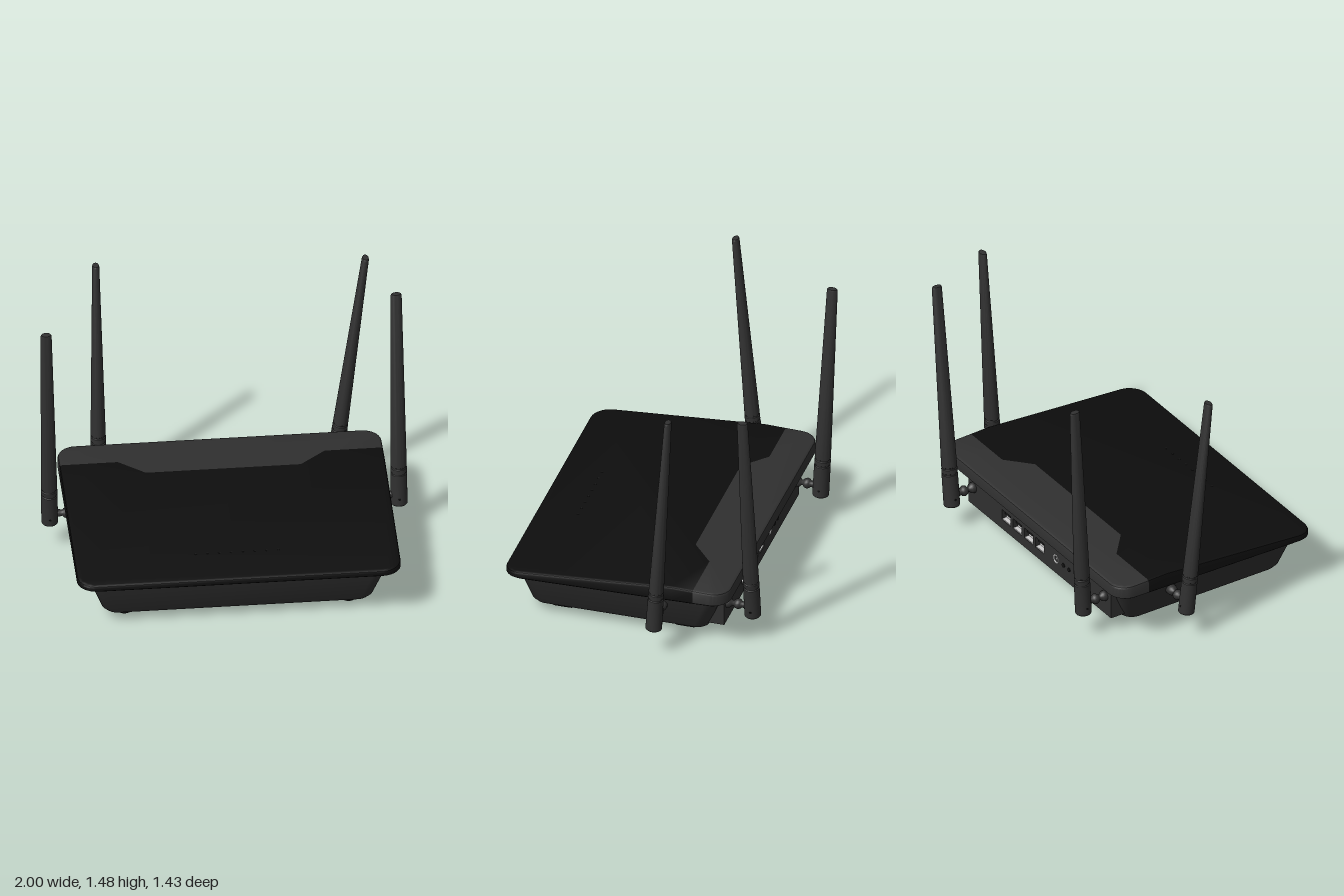
import * as THREE from 'three';
import { toCreasedNormals } from 'three/addons/utils/BufferGeometryUtils.js';

const mat = (color) => new THREE.MeshStandardMaterial({ color });
const black = mat(0x0d0d0d), grey = mat(0x303030), dark = mat(0x161616), silver = mat(0xcccccc);
const UP = new THREE.Vector3(0, 1, 0);

function add(parent, name, geometry, material, x = 0, y = 0, z = 0) {
  const mesh = new THREE.Mesh(geometry, material);
  mesh.name = name;
  mesh.position.set(x, y, z);
  parent.add(mesh);
  return mesh;
}

// Quarter-round corner, angle measured from +x towards +z
function corner(cx, cz, r, from, to, n = 8) {
  return Array.from({ length: n + 1 }, (_, i) => {
    const a = from + (to - from) * i / n;
    return [cx + r * Math.cos(a), cz + r * Math.sin(a)];
  });
}
const H = Math.PI / 2;
const frontCorners = (w, z, r) => [...corner(-w + r, z - r, r, 2 * H, H), ...corner(w - r, z - r, r, H, 0)];
const backCorners = (w, z, r) => [...corner(w - r, z + r, r, 0, -H), ...corner(-w + r, z + r, r, -H, -2 * H)];

// Skin rings of [x, y, z], bottom to top; optionally cap the top or the bottom
function loft(rings, { closed = false, topExtra = null, bottom = false }) {
  const n = rings[0].length, pos = rings.flat(2), index = [];
  for (let r = 0; r < rings.length - 1; r++) {
    for (let i = 0; i < (closed ? n : n - 1); i++) {
      const j = (i + 1) % n, a = r * n + i, b = r * n + j;
      index.push(a, b, b + n, a, b + n, a + n);
    }
  }
  const cap = (points, flip) => {
    const start = pos.length / 3;
    pos.push(...points.flat());
    const flat = points.map((p) => new THREE.Vector2(p[0], -p[2]));
    for (const [a, b, c] of THREE.ShapeUtils.triangulateShape(flat, [])) {
      index.push(start + a, start + (flip ? c : b), start + (flip ? b : c));
    }
  };
  if (topExtra) cap([...rings[rings.length - 1], ...topExtra], false);
  if (bottom) cap(rings[0], true);
  const geo = new THREE.BufferGeometry();
  geo.setAttribute('position', new THREE.Float32BufferAttribute(pos, 3));
  geo.setIndex(index);
  return toCreasedNormals(geo, 0.5);
}

// Height of the sloping lid at depth z
const lidY = (z) => z > -0.24
  ? THREE.MathUtils.mapLinear(z, 0.715, -0.24, 0.322, 0.389)
  : THREE.MathUtils.mapLinear(z, -0.24, -0.55, 0.389, 0.38);
const lipY = (z) => THREE.MathUtils.mapLinear(z, 0.65, -0.48, 0.265, 0.282);

// One part of the lid: undercut lip, upright rim, rounded edge, sloping top
function lidPart(outline, divider) {
  const rows = [
    [0.07, lipY],
    [0.015, (z) => lipY(z) + 0.016],
    [0, (z) => lipY(z) + 0.028],
    [0, (z) => lidY(z) - 0.014],
    [0.004, (z) => lidY(z) - 0.005],
    [0.014, lidY],
  ];
  const rings = rows.map(([d, y]) => outline(d).map(([x, z]) => [x, y(z), z]));
  return loft(rings, { topExtra: divider.map(([x, z]) => [x, lidY(z), z]) });
}

function buildHousing() {
  const housing = new THREE.Group();
  housing.name = 'housing';
  housing.position.x = 0.008;

  // Lid in two colours, split along a stepped line
  const W = 0.877, split = -0.36;
  const step = [[0.56, split], [0.42, -0.24], [-0.42, -0.24], [-0.56, split]];
  add(housing, 'lidFront', lidPart((d) => [
    [-W + d, split], [-W + d, -0.24], ...frontCorners(W - d, 0.715 - d, 0.1 - d * 0.5), [W - d, -0.24], [W - d, split],
  ], step), black);
  add(housing, 'lidRear', lidPart((d) => [
    [W - d, split], ...backCorners(W - d, -0.55 + d, 0.1 - d * 0.5), [-W + d, split],
  ], [...step].reverse()), grey);

  // Tapered tray: y, half width, front z, back z
  const tray = [[0.05, 0.7, 0.57, -0.38], [0.058, 0.718, 0.587, -0.39], [0.08, 0.735, 0.602, -0.4], [0.285, 0.808, 0.655, -0.482]];
  add(housing, 'tray', loft(tray.map(([y, w, f, b]) =>
    [...frontCorners(w, f, 0.07), ...backCorners(w, b, 0.07)].map(([x, z]) => [x, y, z])),
  { closed: true, bottom: true }), grey);

  // Indicator dots on the lid
  for (let i = 0; i < 8; i++) {
    const x = -0.22 + i * 0.064;
    add(housing, 'indicator', new THREE.CylinderGeometry(0.006, 0.006, 0.004, 12), dark, x, lidY(0.48), 0.48);
  }
  return housing;
}

function buildRearPanel() {
  const panel = new THREE.Group();
  panel.name = 'rearPanel';
  const rect = (path, x0, y0, x1, y1) => path.moveTo(x0, y0).lineTo(x1, y0).lineTo(x1, y1).lineTo(x0, y1).closePath();
  const shape = rect(new THREE.Shape(), -0.69, 0.09, 0.71, 0.28);
  const ports = [0.337, 0.228, 0.118, 0.008], py = 0.18, back = -0.486;
  for (const x of ports) {
    shape.holes.push(rect(new THREE.Path(), x - 0.042, py - 0.032, x + 0.042, py + 0.032));
  }
  shape.holes.push(new THREE.Path().absarc(-0.15, py, 0.026, 0, Math.PI * 2));
  const geo = new THREE.ExtrudeGeometry(shape, { depth: 0.1, bevelEnabled: false, curveSegments: 16 });
  add(panel, 'panelPlate', geo, grey, 0, 0, back);

  // Network sockets: metal floor and back, dark contact tongue
  for (const x of ports) {
    add(panel, 'socketBack', new THREE.BoxGeometry(0.084, 0.064, 0.01), silver, x, py, back + 0.035);
    add(panel, 'socketFloor', new THREE.BoxGeometry(0.084, 0.006, 0.03), silver, x, py - 0.029, back + 0.018);
    add(panel, 'socketTongue', new THREE.BoxGeometry(0.05, 0.02, 0.026), dark, x, py + 0.022, back + 0.02);
  }
  // Power jack and two small buttons
  add(panel, 'jackRing', new THREE.TorusGeometry(0.022, 0.005, 8, 24), silver, -0.15, py, back + 0.002);
  const pin = add(panel, 'jackPin', new THREE.CylinderGeometry(0.007, 0.007, 0.04, 12), silver, -0.15, py, back + 0.022);
  pin.rotation.x = H;
  for (const x of [-0.225, -0.28]) {
    add(panel, 'button', new THREE.CylinderGeometry(0.012, 0.012, 0.01, 16), dark, x, py, back).rotation.x = H;
  }
  return panel;
}

// Stadium-shaped foot with a smaller pad below
function buildFoot(x, z) {
  const foot = new THREE.Group();
  foot.name = 'foot';
  const stadium = (w, len, h) => {
    const s = new THREE.Shape(), k = len / 2 - w;
    s.absarc(0, k, w, 0, Math.PI).absarc(0, -k, w, Math.PI, 2 * Math.PI).closePath();
    return new THREE.ExtrudeGeometry(s, { depth: h, bevelEnabled: false, curveSegments: 10 }).rotateX(-H);
  };
  add(foot, 'footBody', stadium(0.039, 0.175, 0.045), black, 0, 0.012, 0);
  add(foot, 'footPad', stadium(0.029, 0.14, 0.014), dark);
  foot.position.set(x, 0, z);
  return foot;
}

const lathe = (points, segments) => new THREE.LatheGeometry(points.map(([r, y]) => new THREE.Vector2(r, y)), segments);

// Tapered antenna whose tip flattens across its mounting axis, with a ball joint to the housing
function buildAntenna({ base, tip, mount, out }) {
  const antenna = new THREE.Group();
  antenna.name = 'antenna';
  const foot = new THREE.Vector3(...base), dir = new THREE.Vector3(...tip).sub(foot), L = dir.length();
  const geo = lathe([[0, 0], [0.042, 0], [0.045, 0.004], [0.045, 0.19], [0.04, 0.193], [0.04, 0.199], [0.0445, 0.202],
    [0.0445, 0.226], [0.04, 0.229], [0.04, 0.235], [0.044, 0.238], [0.03, L - 0.012], [0.026, L - 0.003], [0, L]], 24);
  const p = geo.attributes.position;
  for (let i = 0; i < p.count; i++) p.setZ(i, p.getZ(i) * (1 - 0.36 * p.getY(i) / L));

  const stick = new THREE.Group();
  stick.name = 'stick';
  add(stick, 'rod', toCreasedNormals(geo, 0.5), grey);
  add(stick, 'hingePin', new THREE.CylinderGeometry(0.007, 0.007, 0.09, 12), black, 0, 0.045, 0).rotation.x = H;
  stick.position.copy(foot);
  stick.quaternion.setFromUnitVectors(UP, dir.normalize());
  if (out[2]) stick.rotateY(H);
  antenna.add(stick);

  // Joint: collar, neck, ball, neck, cheek
  const joint = add(antenna, 'joint', lathe([[0, -0.02], [0.028, -0.02], [0.03, 0.02], [0.026, 0.035], [0.015, 0.043], [0.015, 0.053],
    [0.025, 0.062], [0.03, 0.076], [0.025, 0.09], [0.016, 0.098], [0.02, 0.112], [0.02, 0.15], [0, 0.15]], 20), grey, ...mount);
  joint.quaternion.setFromUnitVectors(UP, new THREE.Vector3(...out));
  return antenna;
}

export function createModel() {
  const model = new THREE.Group();
  model.name = 'router';
  model.add(buildHousing(), buildRearPanel());
  for (const x of [-0.6, 0.614]) for (const z of [0.445, -0.245]) model.add(buildFoot(x, z));
  const antennas = [
    { base: [0.953, 0.155, -0.162], tip: [0.944, 1.475, -0.24], mount: [0.79, 0.213, -0.163], out: [1, 0, 0] },
    { base: [-0.94, 0.155, -0.165], tip: [-0.972, 1.47, -0.042], mount: [-0.775, 0.213, -0.16], out: [-1, 0, 0] },
    { base: [-0.63, 0.147, -0.625], tip: [-0.64, 1.46, -0.688], mount: [-0.63, 0.205, -0.474], out: [0, 0, -1] },
    { base: [0.652, 0.147, -0.63], tip: [0.816, 1.46, -0.62], mount: [0.657, 0.205, -0.474], out: [0, 0, -1] },
  ];
  for (const a of antennas) model.add(buildAntenna(a));
  return model;
}
